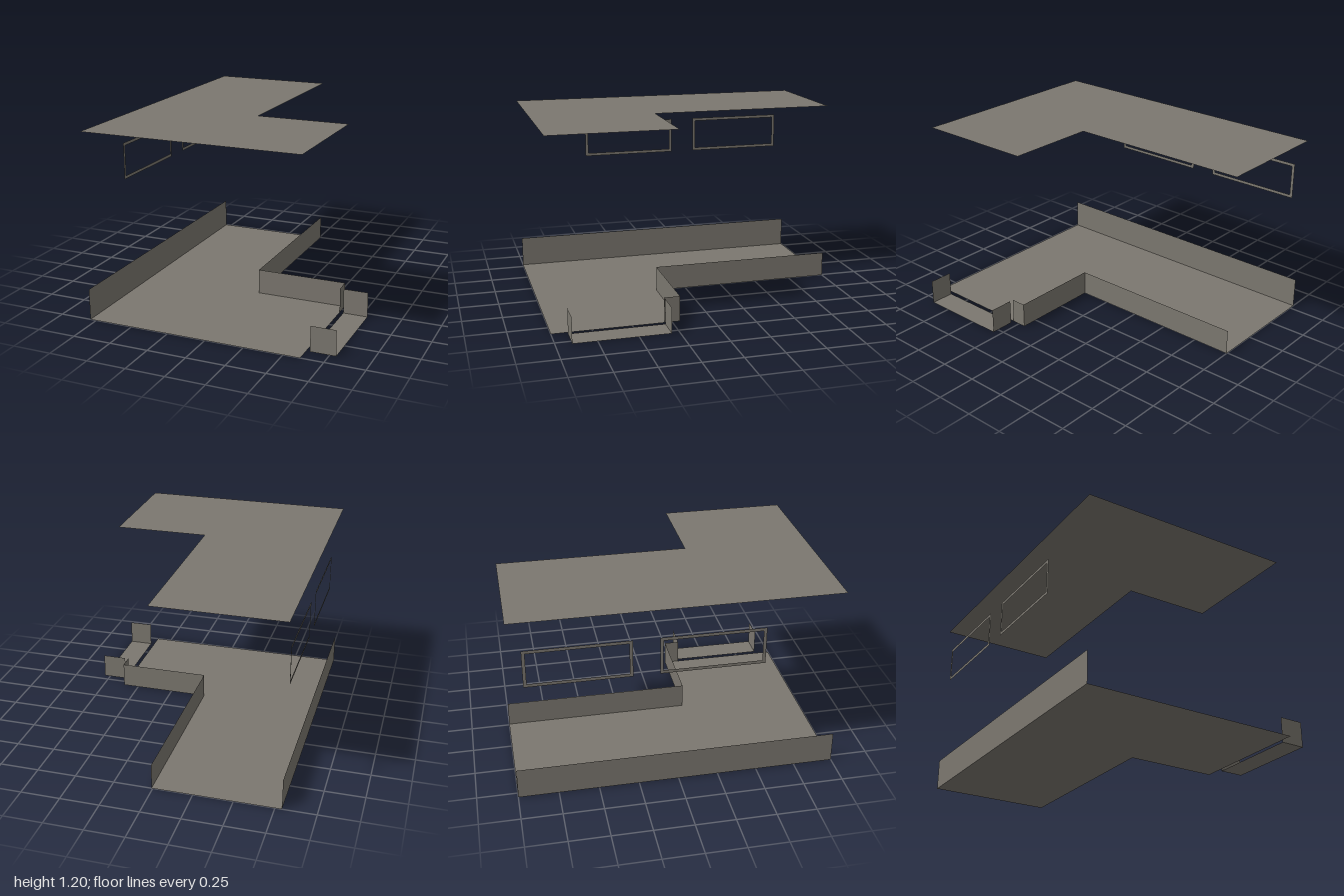
import * as THREE from 'three';

const stone = new THREE.MeshStandardMaterial({ color: 0x7b776f, side: THREE.DoubleSide });
stone.name = 'warm grey';

// Plan positions
const X_SIDE = -0.792, X_INNER = 0.008, X_WING = 0.606;
const Z_BACK = -1, Z_STEP = 0.2, Z_FRONT = 1;
const ROOF_Y = 1.2, WALL_H = 0.2, PARAPET_H = 0.163;

export function createModel() {
  const group = new THREE.Group();
  group.name = 'terraceHouse';

  const add = (name, geometry) => {
    const mesh = new THREE.Mesh(geometry, stone);
    mesh.name = name;
    group.add(mesh);
    return mesh;
  };

  // Flat slab from a plan outline of [x, z] points, facing up
  const slab = (name, points, y) => {
    const shape = new THREE.Shape(points.map(([x, z]) => new THREE.Vector2(x, -z)));
    add(name, new THREE.ShapeGeometry(shape).rotateX(-Math.PI / 2)).position.y = y;
  };

  // Thin upright wall standing on y = 0 between two plan points
  const wall = (name, [x0, z0], [x1, z1], height) => {
    const length = Math.hypot(x1 - x0, z1 - z0);
    const mesh = add(name, new THREE.PlaneGeometry(length, height));
    mesh.position.set((x0 + x1) / 2, height / 2, (z0 + z1) / 2);
    mesh.rotation.y = Math.atan2(z0 - z1, x1 - x0);
  };

  // L-shaped floor and matching roof
  const plan = [
    [X_SIDE, Z_FRONT], [X_WING, Z_FRONT], [X_WING, Z_STEP],
    [X_INNER, Z_STEP], [X_INNER, Z_BACK], [X_SIDE, Z_BACK],
  ];
  slab('floor', plan, 0);
  slab('roof', plan, ROOF_Y);

  // Low walls around the floor
  wall('sideWall', [X_SIDE, Z_FRONT], [X_SIDE, Z_BACK], WALL_H);
  wall('innerParapet', [X_INNER, Z_STEP], [X_INNER, Z_BACK], PARAPET_H);
  wall('wingParapet', [X_INNER, Z_STEP], [X_WING, Z_STEP], PARAPET_H);
  wall('wingReturn', [X_WING, 0.3], [X_WING, Z_STEP], PARAPET_H);

  // Balcony beside the wing, with a wall at each end
  const bx0 = 0.63, bx1 = 0.79, bz0 = 0.3, bz1 = 0.9;
  slab('balconyFloor', [[bx0, bz1], [bx1, bz1], [bx1, bz0], [bx0, bz0]], 0);
  for (const z of [bz0, bz1]) wall('balconyEndWall', [bx0, z], [bx1, z], PARAPET_H);

  // Window frames in the plane of the side wall
  const rectangle = (PathType, w, h) => new PathType([
    new THREE.Vector2(-w, -h), new THREE.Vector2(w, -h),
    new THREE.Vector2(w, h), new THREE.Vector2(-w, h),
  ]);
  const frame = rectangle(THREE.Shape, 0.32, 0.12);
  frame.holes.push(rectangle(THREE.Path, 0.3, 0.1));
  for (const z of [0.2, -0.6]) {
    const mesh = add('windowFrame', new THREE.ShapeGeometry(frame));
    mesh.position.set(X_SIDE, 0.9, z);
    mesh.rotation.y = Math.PI / 2;
  }

  return group;
}
